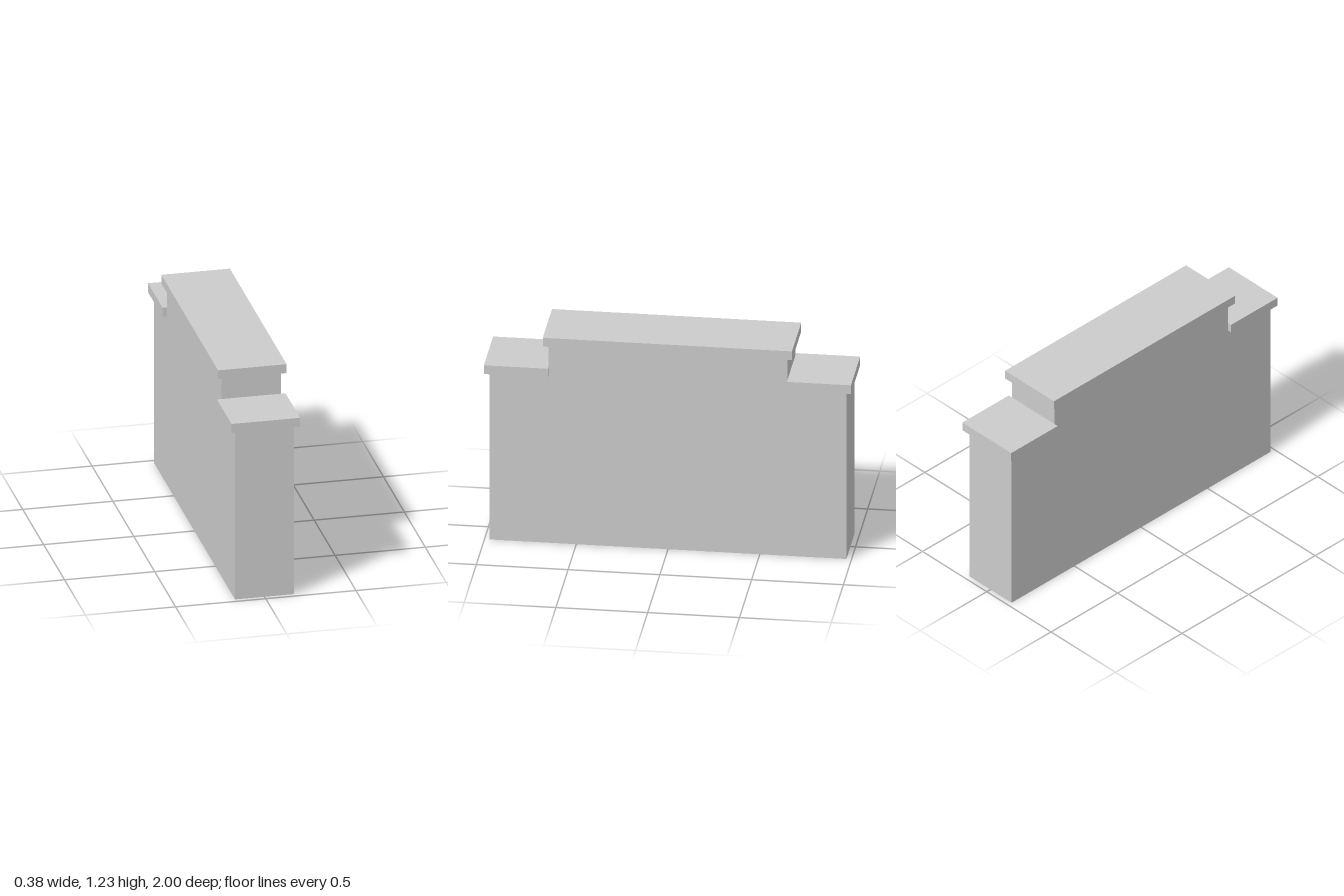
import * as THREE from 'three';

export function createModel() {
  const group = new THREE.Group();
  const material = new THREE.MeshStandardMaterial({ color: 0xcccccc, flatShading: true });

  const add = (name, geometry, y = 0, z = 0) => {
    const mesh = new THREE.Mesh(geometry, material);
    mesh.name = name;
    mesh.position.set(0, y, z);
    group.add(mesh);
  };

  const wallWidth = 0.328, capWidth = 0.38, capHeight = 0.052;
  const wallEnd = 0.972, stepEnd = 0.651; // half lengths along z
  const lowTop = 0.991, highTop = 1.173;

  // Stepped wall: side profile extruded across the width
  const profile = new THREE.Shape([
    [-wallEnd, 0], [wallEnd, 0], [wallEnd, lowTop], [stepEnd, lowTop],
    [stepEnd, highTop], [-stepEnd, highTop], [-stepEnd, lowTop], [-wallEnd, lowTop],
  ].map(([z, y]) => new THREE.Vector2(z, y)));
  const wall = new THREE.ExtrudeGeometry(profile, { depth: wallWidth, bevelEnabled: false });
  wall.translate(0, 0, -wallWidth / 2).rotateY(-Math.PI / 2);
  add('wall', wall);

  // Coping slab over the raised middle
  add('topCap', new THREE.BoxGeometry(capWidth, capHeight, 1.358), highTop + capHeight / 2);

  // Lower coping slabs, butting against the raised middle
  const capLength = 1 - stepEnd;
  for (const [name, side] of [['frontCap', 1], ['backCap', -1]]) {
    add(name, new THREE.BoxGeometry(capWidth, capHeight, capLength),
      lowTop + capHeight / 2, side * (1 - capLength / 2));
  }

  return group;
}
